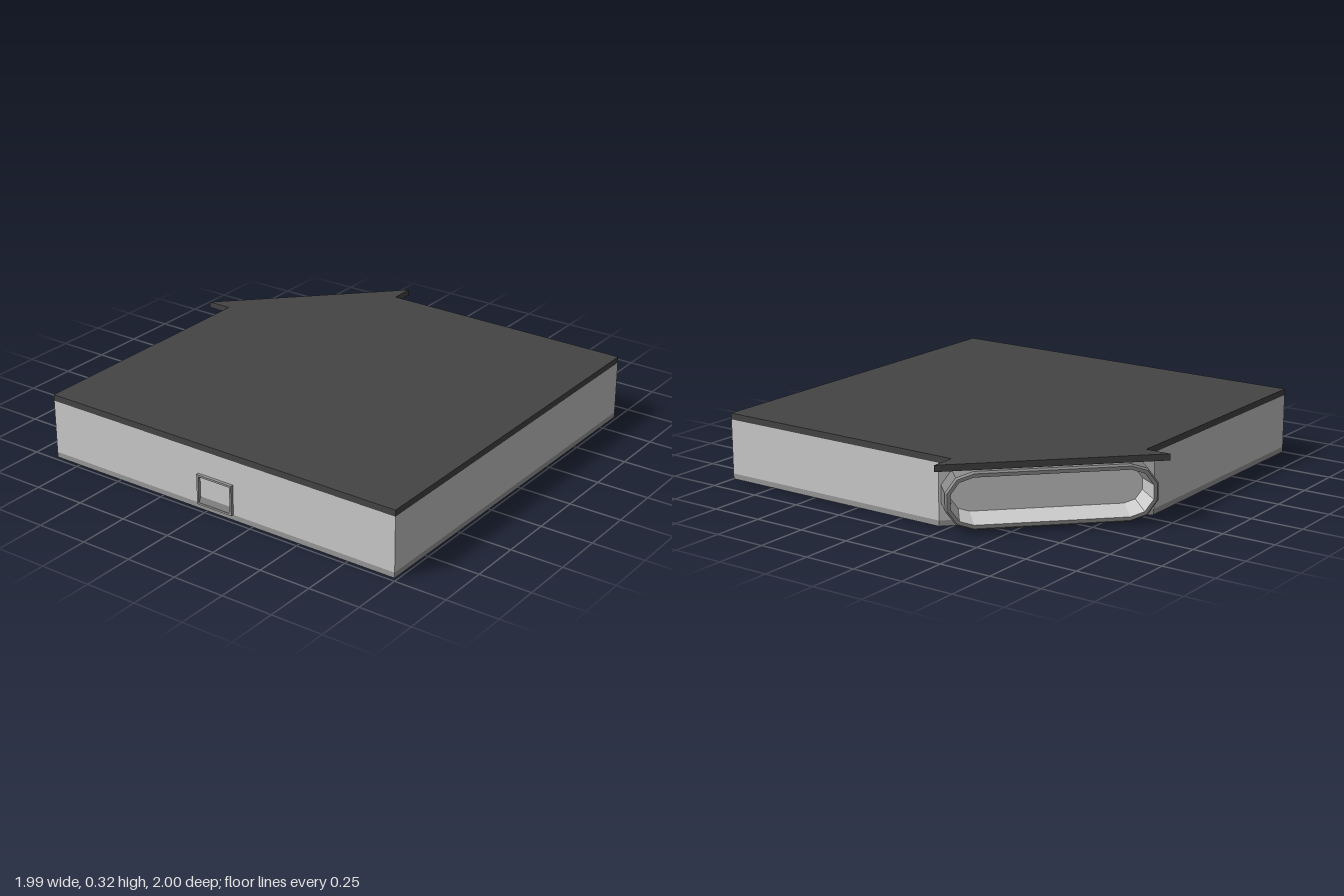
import * as THREE from 'three';

const grey = (color = 0xcccccc) =>
  new THREE.MeshStandardMaterial({ color, flatShading: true, side: THREE.DoubleSide });

function addMesh(parent, name, geometry, color) {
  const mesh = new THREE.Mesh(geometry, grey(color));
  mesh.name = name;
  parent.add(mesh);
  return mesh;
}

// Upright slab from a plan outline of [x, z] points
function slab(points, y0, y1) {
  const shape = new THREE.Shape(points.map(([x, z]) => new THREE.Vector2(x, -z)));
  return new THREE.ExtrudeGeometry(shape, { depth: y1 - y0, bevelEnabled: false })
    .rotateX(-Math.PI / 2).translate(0, y0, 0);
}

// Stadium-shaped ring with five facets per rounded end
function stadium(radius, halfLength) {
  const ring = [];
  for (const side of [1, -1]) {
    for (let k = 0; k <= 5; k++) {
      const a = -Math.PI / 2 + (k * Math.PI) / 5;
      ring.push([side * (halfLength + radius * Math.cos(a)), side * radius * Math.sin(a)]);
    }
  }
  return ring;
}

// Surface through stadium sections given as [radius, depth]
function loftStadium(sections, halfLength) {
  const positions = [], index = [];
  for (const [r, z] of sections) {
    for (const [x, y] of stadium(r, halfLength)) positions.push(x, y, z);
  }
  const n = 12;
  for (let i = 0; i < sections.length - 1; i++) {
    for (let j = 0; j < n; j++) {
      const a = i * n + j, b = i * n + ((j + 1) % n);
      index.push(a, b, b + n, a, b + n, a + n);
    }
  }
  const g = new THREE.BufferGeometry();
  g.setAttribute('position', new THREE.Float32BufferAttribute(positions, 3));
  g.setIndex(index);
  const flat = g.toNonIndexed();
  flat.computeVertexNormals();
  return flat;
}

export function createModel() {
  const model = new THREE.Group();
  model.name = 'flatBox';
  const L = -0.88, R = 0.99, B = -0.88, F = 0.985;

  // Box body with one back corner cut off
  const plan = [[L, F], [R, F], [R, B], [-0.21, B], [L, -0.21]];
  addMesh(model, 'base', slab(plan, 0.004, 0.03), 0x999999);
  addMesh(model, 'body', slab(plan, 0.03, 0.29));

  // Dark lid, overhanging the cut corner
  const lid = [[L, F], [R, F], [R, B], [-0.28, B], [-0.28, -1], [-1, -0.28], [L, -0.28]];
  addMesh(model, 'lid', slab(lid, 0.29, 0.32), 0x444444);

  // Round pad under the base
  addMesh(model, 'bottomPad', new THREE.CylinderGeometry(0.256, 0.256, 0.006, 48))
    .position.set(0.055, 0.003, 0.053);

  // Hollow oblong port on the cut corner
  const port = new THREE.Group();
  port.name = 'cornerPort';
  port.position.set(-0.545, 0.15, -0.545);
  port.rotation.y = (-3 * Math.PI) / 4;
  addMesh(port, 'portFrame',
    loftStadium([[0.13, 0], [0.13, 0.12], [0.122, 0.13], [0.106, 0.13]], 0.34), 0x888888);
  addMesh(port, 'portFunnel', loftStadium([[0.106, 0.13], [0.085, 0]], 0.34));
  model.add(port);

  // Small framed socket on the front
  const socket = new THREE.Group();
  socket.name = 'frontSocket';
  socket.position.set(0.055, 0.1025, F);
  const rect = (w, h, Type) => new Type([
    [-w, -h], [w, -h], [w, h], [-w, h],
  ].map(([x, y]) => new THREE.Vector2(x, y)));
  const frame = rect(0.095, 0.0725, THREE.Shape);
  frame.holes.push(rect(0.086, 0.0635, THREE.Path));
  addMesh(socket, 'socketFrame',
    new THREE.ExtrudeGeometry(frame, { depth: 0.015, bevelEnabled: false }), 0x999999);

  // Sloping sill along the bottom of the socket
  const wedge = new THREE.Shape([[0, 0], [0.012, 0], [0, 0.025]]
    .map(([x, y]) => new THREE.Vector2(x, y)));
  const sill = new THREE.ExtrudeGeometry(wedge, { depth: 0.172, bevelEnabled: false })
    .rotateY(-Math.PI / 2).translate(0.086, -0.0635, 0);
  addMesh(socket, 'socketSill', sill, 0x777777);
  model.add(socket);

  return model;
}
